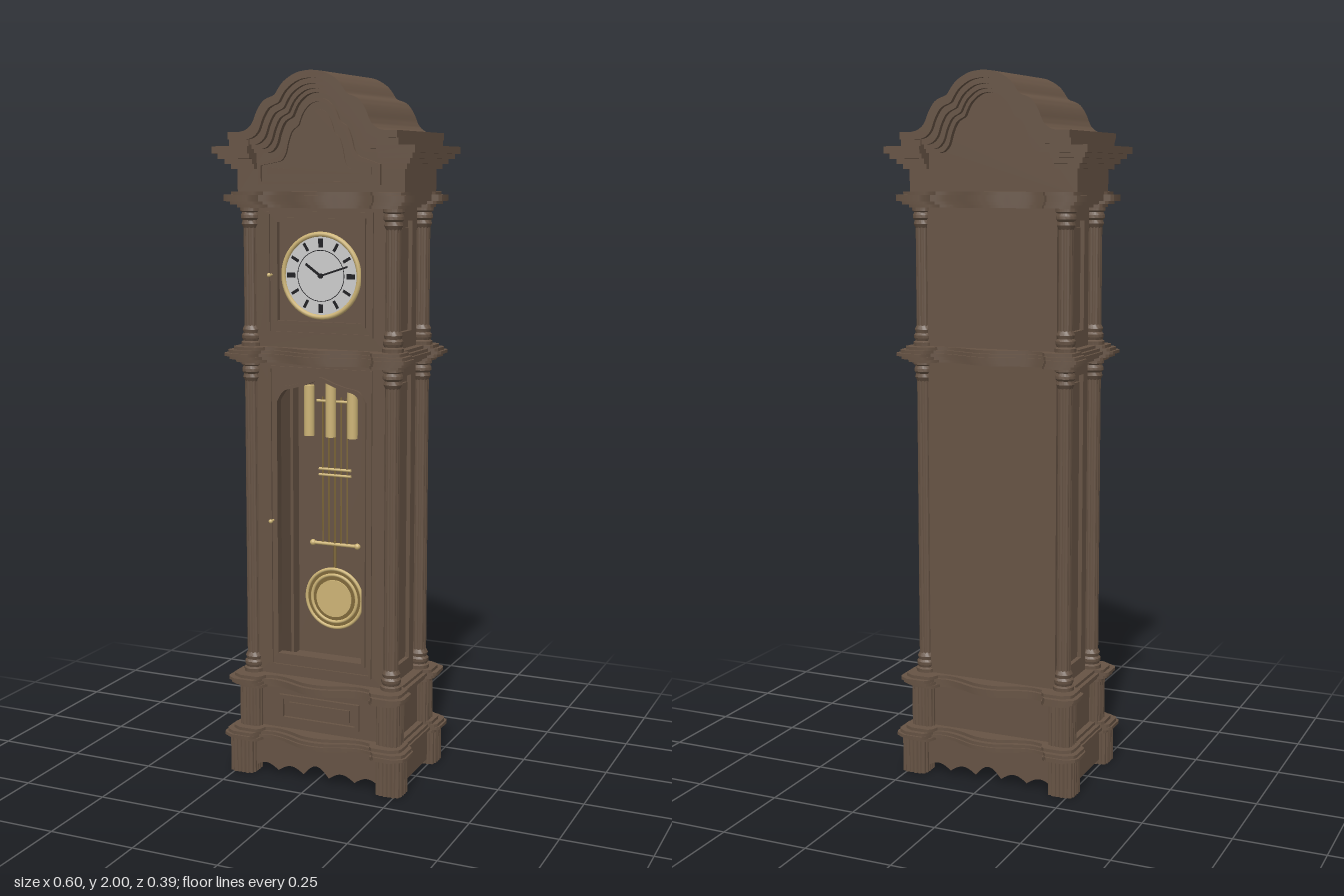
import * as THREE from 'three';
import { toCreasedNormals } from 'three/addons/utils/BufferGeometryUtils.js';

const mat = (color) => new THREE.MeshStandardMaterial({ color, side: THREE.DoubleSide });
const V = (x, y) => new THREE.Vector2(x, y);

export function createModel() {
  const root = new THREE.Group();
  const wood = mat(0x665344), gold = mat(0xcdb476), darkGold = mat(0x80693a);
  const white = mat(0xdedede), black = mat(0x1c1c20);

  const add = (name, geo, m, x = 0, y = 0, z = 0) => {
    const mesh = new THREE.Mesh(geo, m);
    mesh.name = name;
    mesh.position.set(x, y, z);
    root.add(mesh);
    return mesh;
  };
  const box = (name, w, h, d, x, y, z, m = wood) => add(name, new THREE.BoxGeometry(w, h, d), m, x, y, z);
  const extrude = (shape, depth) => toCreasedNormals(
    new THREE.ExtrudeGeometry(shape, { depth, bevelEnabled: false, curveSegments: 12 }), 0.6);
  // plate between two z planes
  const plate = (name, shape, z0, z1, m = wood) => add(name, extrude(shape, z1 - z0), m, 0, 0, z0);
  // plan outline (x, z) raised to a slab
  const slab = (name, shape, y, h, x = 0, z = 0) => {
    const g = extrude(shape, h);
    g.rotateX(-Math.PI / 2);
    return add(name, g, wood, x, y, z);
  };
  const rect = (x0, y0, x1, y1) => [V(x0, y0), V(x1, y0), V(x1, y1), V(x0, y1)];
  const ring = (outer, inner) => {
    const s = new THREE.Shape(outer);
    s.holes.push(new THREE.Path(inner));
    return s;
  };
  const rectFrame = (w, y0, y1, t) => ring(rect(-w, y0, w, y1), rect(-w + t, y0 + t, w - t, y1 - t));
  const rod = (name, r, a, b, m = gold) => {
    const dir = b.clone().sub(a);
    const mesh = add(name, new THREE.CylinderGeometry(r, r, dir.length(), 16), m);
    mesh.position.copy(a).add(b).multiplyScalar(0.5);
    mesh.quaternion.setFromUnitVectors(new THREE.Vector3(0, 1, 0), dir.normalize());
    return mesh;
  };
  const disc = (name, r, d, y, z, m) => {
    const g = new THREE.CylinderGeometry(r, r, d, 48);
    g.rotateX(Math.PI / 2);
    return add(name, g, m, 0, y, z);
  };
  const P = (x, y, z) => new THREE.Vector3(x, y, z);

  // fluted post outline, round (n = 2) to squarish (n = 4)
  const fluted = (r, n, flutes) => {
    const pts = [];
    for (let i = 0; i < flutes * 6; i++) {
      const a = i / (flutes * 6) * Math.PI * 2, c = Math.cos(a), s = Math.sin(a);
      const k = r / Math.pow(Math.abs(c) ** n + Math.abs(s) ** n, 1 / n);
      const f = k * (1 - 0.09 * (1 - Math.abs(Math.sin(a * flutes / 2))));
      pts.push(V(c * f, s * f));
    }
    return new THREE.Shape(pts);
  };

  // serpentine moulding: bulging centre and projecting corner blocks
  const half = new THREE.SplineCurve([V(0, 0.183), V(0.04, 0.178), V(0.09, 0.158), V(0.135, 0.148), V(0.172, 0.155)]).getPoints(16);
  const quarter = [...half, V(0.18, 0.178), V(0.19, 0.187), V(0.245, 0.187), V(0.27, 0.172),
    V(0.275, 0.16), V(0.275, 0.105), V(0.268, 0.095), V(0.25, 0.09)];
  const outline = (grow) => {
    const q = quarter.map((p) => V(p.x * (0.275 + grow) / 0.275, p.y * (0.187 + grow) / 0.187));
    const mx = [...q].reverse().map((p) => V(p.x, -p.y));
    const right = [...q, ...mx];
    const left = right.slice(1, -1).reverse().map((p) => V(-p.x, p.y));
    return new THREE.Shape([...right, ...left]);
  };
  const moulding = (name, y, h, grows) => grows.forEach((g, i) =>
    slab(name, outline(g), y + h * i / grows.length, h / grows.length));
  moulding('baseMoulding', 0.1, 0.036, [-0.006, 0.008, 0.002, -0.012]);
  moulding('plinthMoulding', 0.258, 0.036, [-0.02, -0.008, -0.002, -0.015]);
  moulding('waistMoulding', 1.205, 0.044, [-0.025, -0.01, 0, -0.008, -0.02]);
  moulding('hoodMoulding', 1.635, 0.044, [-0.03, -0.015, -0.002, -0.002, -0.018]);

  // feet, plinth posts and columns at the four corners
  const ringProfile = [[0.001, 0], [0.03, 0], [0.03, 0.014], [0.024, 0.018], [0.028, 0.026], [0.028, 0.034],
    [0.023, 0.04], [0.026, 0.05], [0.02, 0.062], [0.001, 0.062]].map((p) => V(...p));
  const cap = toCreasedNormals(new THREE.LatheGeometry(ringProfile, 28), 0.5);
  for (const sx of [-1, 1]) for (const sz of [-1, 1]) {
    slab('foot', fluted(0.041, 4, 20), 0, 0.105, sx * 0.229, sz * 0.138);
    slab('plinthPost', fluted(0.036, 4, 20), 0.13, 0.135, sx * 0.215, sz * 0.115);
    for (const [y0, y1] of [[0.29, 1.21], [1.245, 1.64]]) {
      slab('columnShaft', fluted(0.021, 2, 12), y0 + 0.05, y1 - y0 - 0.1, sx * 0.215, sz * 0.11);
      add('columnBase', cap, wood, sx * 0.215, y0, sz * 0.11);
      add('columnCapital', cap, wood, sx * 0.215, y1, sz * 0.11).rotation.x = Math.PI;
      box('cornerPost', 0.022, y1 - y0, 0.04, sx * 0.185, (y0 + y1) / 2, sz * 0.09);
    }
  }

  // scalloped apron front and back, straight at the sides
  const apron = [V(0.2, 0.11), V(-0.2, 0.11)];
  for (let i = 0; i <= 80; i++) {
    const x = -0.2 + i * 0.005;
    apron.push(V(x, 0.013 + (Math.abs(x) < 0.04 ? 0.03 : 0.018) * Math.abs(Math.cos(x / 0.08 * Math.PI))));
  }
  plate('frontApron', new THREE.Shape(apron), 0.132, 0.15);
  plate('backApron', new THREE.Shape(apron), -0.15, -0.132);
  for (const s of [-1, 1]) box('sideApron', 0.018, 0.095, 0.22, s * 0.238, 0.0625, 0);

  // plinth
  box('plinthBody', 0.42, 0.14, 0.25, 0, 0.198, 0);
  plate('plinthFrame', rectFrame(0.125, 0.16, 0.238, 0.012), 0.12, 0.134);
  box('plinthPanel', 0.19, 0.036, 0.01, 0, 0.199, 0.126);
  for (const s of [-1, 1]) box('plinthSide', 0.02, 0.14, 0.16, s * 0.212, 0.198, 0);

  // panelled side walls and backs of trunk and hood
  for (const [y0, y1] of [[0.29, 1.21], [1.245, 1.64]]) {
    box('backWall', 0.39, y1 - y0, 0.015, 0, (y0 + y1) / 2, -0.117);
    for (const s of [-1, 1]) {
      box('sideWall', 0.012, y1 - y0, 0.2, s * 0.189, (y0 + y1) / 2, 0);
      const g = extrude(ring(rect(-0.08, y0, 0.08, y1), rect(-0.046, y0 + 0.05, 0.046, y1 - 0.04)), 0.014);
      g.rotateY(s * Math.PI / 2);
      add('sideFrame', g, wood, s * 0.194, 0, 0);
      box('sidePanel', 0.012, y1 - y0 - 0.13, 0.058, s * 0.197, (y0 + y1) / 2 + 0.005, 0);
    }
  }

  // trunk door with shaped opening
  const opening = (m) => {
    const top = new THREE.SplineCurve([V(0.13 + m, 1.095 + m), V(0.11 + m, 1.125 + m), V(0.08, 1.135 + m),
      V(0.045, 1.145 + m), V(0, 1.16 + m), V(-0.045, 1.145 + m), V(-0.08, 1.135 + m),
      V(-0.11 - m, 1.125 + m), V(-0.13 - m, 1.095 + m)]).getPoints(40);
    return [V(-0.13 - m, 0.36 - m), V(0.13 + m, 0.36 - m), ...top];
  };
  plate('trunkFront', ring(rect(-0.195, 0.29, 0.195, 1.21), opening(0)), 0.1, 0.118);
  plate('doorTrim', ring(opening(0.01), opening(0)), 0.115, 0.126);
  plate('doorEdge', rectFrame(0.158, 0.318, 1.195, 0.008), 0.115, 0.123);

  // hood door and dial
  plate('hoodFront', ring(rect(-0.195, 1.245, 0.195, 1.64), rect(-0.13, 1.32, 0.13, 1.6)), 0.1, 0.118);
  plate('hoodDoorEdge', rectFrame(0.16, 1.285, 1.625, 0.008), 0.115, 0.123);
  plate('hoodDoorTrim', rectFrame(0.138, 1.312, 1.608, 0.012), 0.115, 0.126);
  box('dialBoard', 0.27, 0.29, 0.01, 0, 1.46, 0.098);
  const dialY = 1.45, dialZ = 0.11;
  disc('dial', 0.112, 0.012, dialY, 0.105, white);
  add('dialRim', new THREE.TorusGeometry(0.114, 0.007, 10, 64), gold, 0, dialY, dialZ);
  add('minuteTrack', new THREE.RingGeometry(0.069, 0.071, 64), black, 0, dialY, 0.112);
  for (let i = 0; i < 12; i++) {
    const a = i * Math.PI / 6;
    box('hourMark', i % 3 ? 0.008 : 0.014, 0.024, 0.002, Math.sin(a) * 0.09, dialY + Math.cos(a) * 0.09, 0.1115, black).rotation.z = -a;
  }
  for (const [len, a, w] of [[0.055, -0.95, 0.007], [0.085, 1.25, 0.005]]) {
    box('hand', w, len, 0.002, Math.sin(a) * len / 2, dialY + Math.cos(a) * len / 2, 0.114, black).rotation.z = -a;
  }
  disc('handHub', 0.007, 0.006, dialY, 0.114, black);
  for (const y of [0.75, 1.45]) {
    add('doorKnob', new THREE.SphereGeometry(0.006, 16, 12), gold, -0.147, y, 0.136);
    rod('knobStem', 0.003, P(-0.147, y, 0.115), P(-0.147, y, 0.136));
  }

  // weights
  for (const [x, top] of [[-0.067, 1.135], [0, 1.155], [0.067, 1.135]]) {
    rod('weight', 0.015, P(x, 0.99, 0.045), P(x, top, 0.045));
    rod('weightCable', 0.002, P(x, top, 0.045), P(x, 1.2, 0.045));
  }
  rod('weightBar', 0.004, P(-0.05, 1.09, 0.03), P(0.05, 1.09, 0.03));

  // pendulum
  const pz = 0.015;
  for (let i = -2; i <= 2; i++) rod('pendulumRod', 0.0025, P(i * 0.019, 0.67, pz), P(i * 0.019, 1.1, pz), darkGold);
  rod('pendulumStem', 0.004, P(0, 0.58, pz), P(0, 0.68, pz), darkGold);
  for (const y of [0.873, 0.89]) rod('pendulumBracket', 0.004, P(-0.05, y, pz), P(0.05, y, pz));
  rod('pendulumCrossbar', 0.005, P(-0.07, 0.67, pz), P(0.07, 0.67, pz));
  for (const s of [-1, 1]) add('crossbarBall', new THREE.SphereGeometry(0.009, 16, 12), gold, s * 0.07, 0.67, pz);
  disc('bobPlate', 0.086, 0.012, 0.51, pz, darkGold);
  disc('bobCentre', 0.055, 0.02, 0.51, pz, gold);
  for (const r of [0.087, 0.07]) add('bobRing', new THREE.TorusGeometry(r, 0.005, 10, 56), gold, 0, 0.51, pz + 0.005);

  // arched pediment, stepped back in bands
  const dome = new THREE.SplineCurve([V(0, 2), V(0.04, 1.994), V(0.08, 1.971), V(0.105, 1.938)]).getPoints(12);
  const shoulder = new THREE.SplineCurve([V(0.112, 1.934), V(0.14, 1.922), V(0.16, 1.895), V(0.175, 1.862),
    V(0.195, 1.845), V(0.215, 1.84)]).getPoints(18);
  const rightArc = [...dome, ...shoulder];
  const arch = (d, ends = true) => {
    const r = rightArc.map((p) => V(p.x * (1 - d / 0.18), p.y - d));
    if (ends) r.push(V(0.25, 1.84 - d));
    return [...r.slice(1).reverse().map((p) => V(-p.x, p.y)), ...r];
  };
  const steps = [[0, 0.02, 0.178], [0.02, 0.034, 0.164], [0.034, 0.046, 0.15], [0.046, 0.056, 0.136]];
  for (const [a, b, z] of steps) plate('archMoulding', new THREE.Shape([...arch(a), ...arch(b).reverse()]), -z, z);
  plate('pedimentBody', new THREE.Shape([...arch(0.02), V(0.25, 1.67), V(-0.25, 1.67)]), -0.12, 0.12);
  const panel = (d, w, y) => [...arch(d, false), V(w, 1.77 - d / 4), V(w, y), V(-w, y), V(-w, 1.77 - d / 4)];
  plate('pedimentTrim', ring(panel(0.07, 0.182, 1.698), panel(0.08, 0.174, 1.706)), 0.115, 0.128);
  plate('pedimentPanel', new THREE.Shape(panel(0.1, 0.155, 1.725)), 0.115, 0.124);

  // side cornices
  for (const s of [-1, 1]) {
    for (const [x1, y0, y1, z] of [[0.3, 1.782, 1.802, 0.178], [0.288, 1.768, 1.782, 0.166],
      [0.275, 1.754, 1.768, 0.15], [0.262, 1.74, 1.754, 0.136], [0.25, 1.802, 1.838, 0.17]]) {
      box('sideCornice', x1 - 0.19, y1 - y0, z * 2, s * (x1 + 0.19) / 2, (y0 + y1) / 2, 0);
    }
  }
  return root;
}
